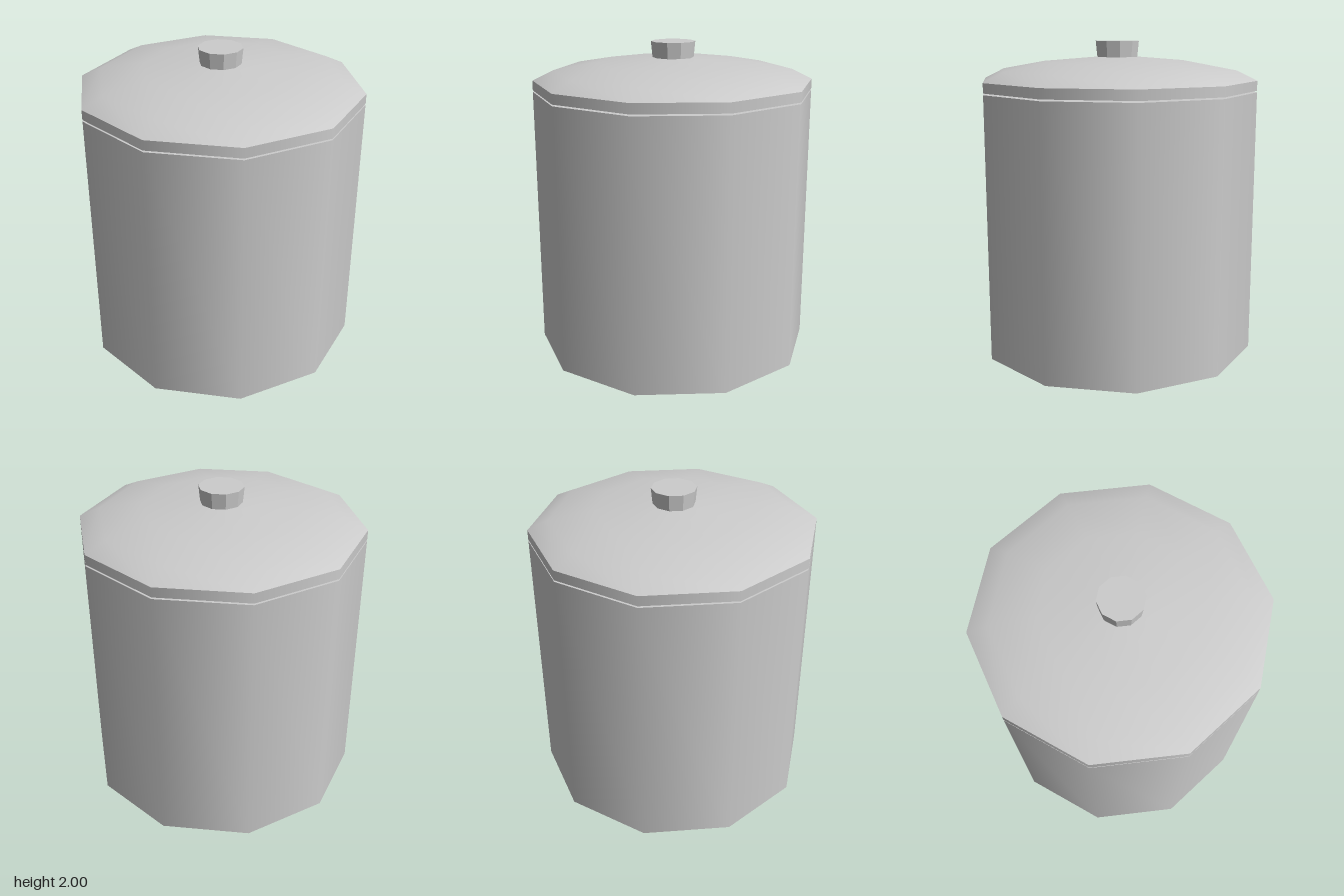
import * as THREE from 'three';
import { mergeGeometries } from 'three/addons/utils/BufferGeometryUtils.js';

const SIDES = 10;
const RADIUS = 0.89;

// Revolves several [radius, height] profiles into one geometry: smooth within a profile, sharp between them
function turned(profiles) {
  return mergeGeometries(profiles.map((profile) =>
    new THREE.LatheGeometry(profile.map(([r, y]) => new THREE.Vector2(r, y)), SIDES)));
}

export function createModel() {
  const group = new THREE.Group();
  const smooth = new THREE.MeshStandardMaterial({ color: 0xcccccc });
  const faceted = new THREE.MeshStandardMaterial({ color: 0xcccccc, flatShading: true });

  const add = (name, geometry, material) => {
    const mesh = new THREE.Mesh(geometry, material);
    mesh.name = name;
    group.add(mesh);
  };

  // Canister wall and top
  add('body', turned([
    [[RADIUS, 0], [RADIUS, 1.685]],
    [[RADIUS, 1.685], [0, 1.685]],
  ]), smooth);

  // Underside: flat foot ring, bevel and recessed floor
  add('base', turned([
    [[0, 0.04], [0.63, 0.04]],
    [[0.63, 0.04], [0.72, 0]],
    [[0.72, 0], [RADIUS, 0]],
  ]), faceted);

  // Domed lid, floating just above the body to leave a thin seam
  add('lid', turned([
    [[0, 1.695], [RADIUS, 1.695]],
    [[RADIUS, 1.695], [RADIUS, 1.757]],
    [[RADIUS, 1.757], [0.76, 1.82], [0.485, 1.87], [0.13, 1.9], [0, 1.9]],
  ]), smooth);

  // Faceted knob, slightly wider at the top
  const knob = new THREE.CylinderGeometry(0.14, 0.13, 0.1, SIDES);
  knob.translate(0, 1.95, 0);
  add('knob', knob, faceted);

  return group;
}
